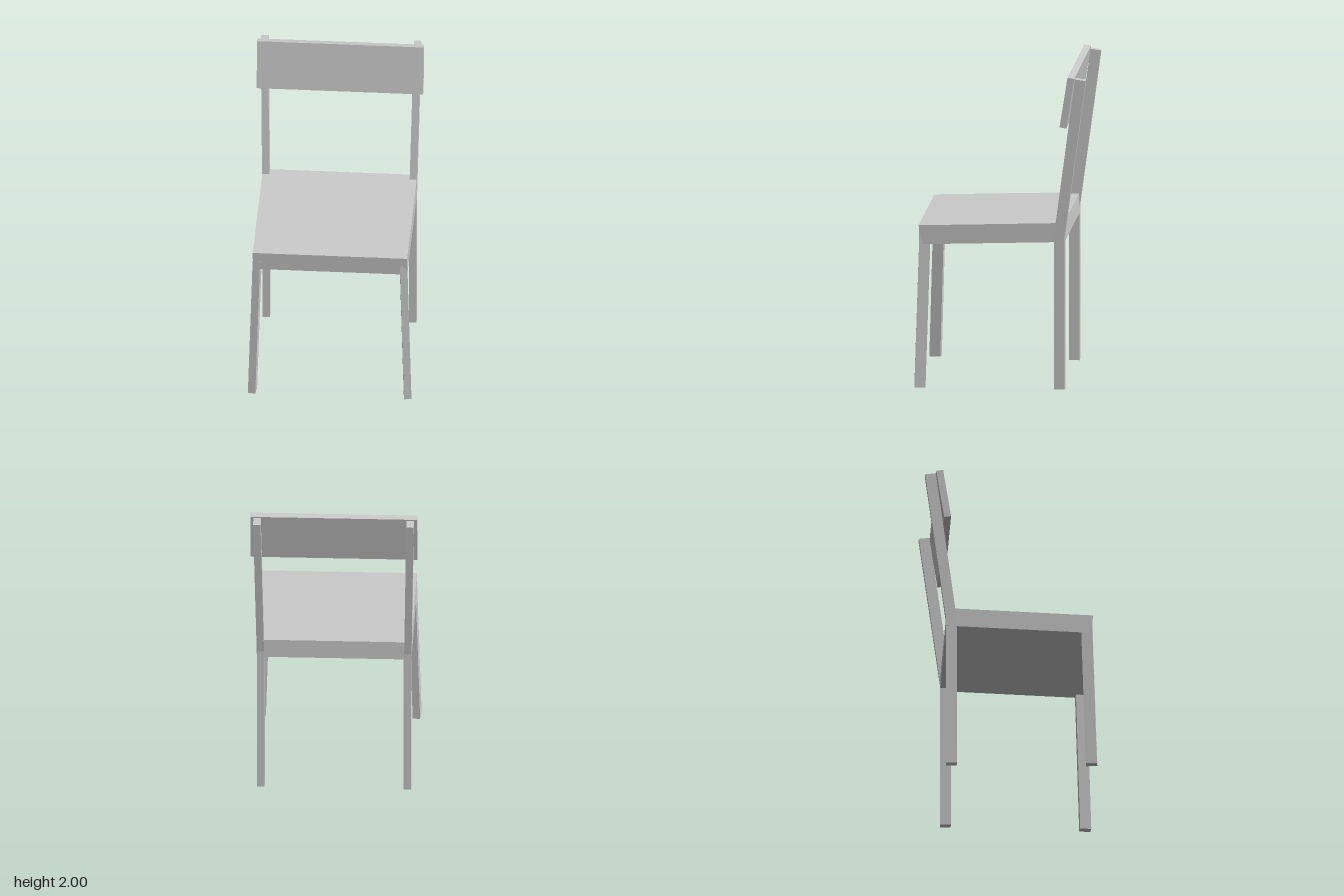
import * as THREE from 'three';

const material = new THREE.MeshStandardMaterial({ color: 0xcccccc, flatShading: true });

export function createModel() {
  const chair = new THREE.Group();
  chair.name = 'chair';

  const add = (name, geometry) => {
    const mesh = new THREE.Mesh(geometry, material);
    mesh.name = name;
    chair.add(mesh);
    return mesh;
  };

  // Tilted panel spanning the chair's width
  const panel = (name, size, y, z, tilt) => {
    const mesh = add(name, new THREE.BoxGeometry(...size));
    mesh.position.set(0, y, z);
    mesh.rotation.x = tilt;
  };

  // Leg with a level foot, leaning by shear from its foot to its top
  const leg = (name, foot, top, width, depth, yaw) => {
    const height = top[1];
    const geometry = new THREE.BoxGeometry(width, height, depth);
    geometry.rotateY(yaw).translate(0, height / 2, 0);
    const p = geometry.attributes.position;
    for (let i = 0; i < p.count; i++) {
      const t = p.getY(i) / height;
      p.setX(i, p.getX(i) + foot[0] + (top[0] - foot[0]) * t);
      p.setZ(i, p.getZ(i) + foot[2] + (top[2] - foot[2]) * t);
    }
    geometry.computeVertexNormals();
    add(name, geometry);
  };

  // Straight post with square ends between two points
  const post = (name, from, to, width, depth) => {
    const a = new THREE.Vector3(...from);
    const b = new THREE.Vector3(...to);
    const mesh = add(name, new THREE.BoxGeometry(width, a.distanceTo(b), depth));
    mesh.position.copy(a).lerp(b, 0.5);
    mesh.quaternion.setFromUnitVectors(new THREE.Vector3(0, 1, 0), b.sub(a).normalize());
  };

  // Seat rises slightly to the back; backrest leans away
  panel('seat', [0.968, 0.121, 0.914], 0.986, 0.053, 0.036);
  panel('backrest', [1.044, 0.322, 0.043], 1.836, -0.423, -0.156);

  // Mirrored legs and back posts
  for (const [side, s] of [['left', 1], ['right', -1]]) {
    leg(`${side}FrontLeg`, [s * 0.486, 0, 0.504], [s * 0.458, 0.97, 0.475], 0.047, 0.07, s * 0.1);
    leg(`${side}BackLeg`, [s * 0.459, 0, -0.372], [s * 0.459, 0.98, -0.372], 0.047, 0.067, 0);
    post(`${side}BackPost`, [s * 0.461, 0.96, -0.369], [s * 0.479, 1.98, -0.505], 0.046, 0.067);
  }

  return chair;
}
